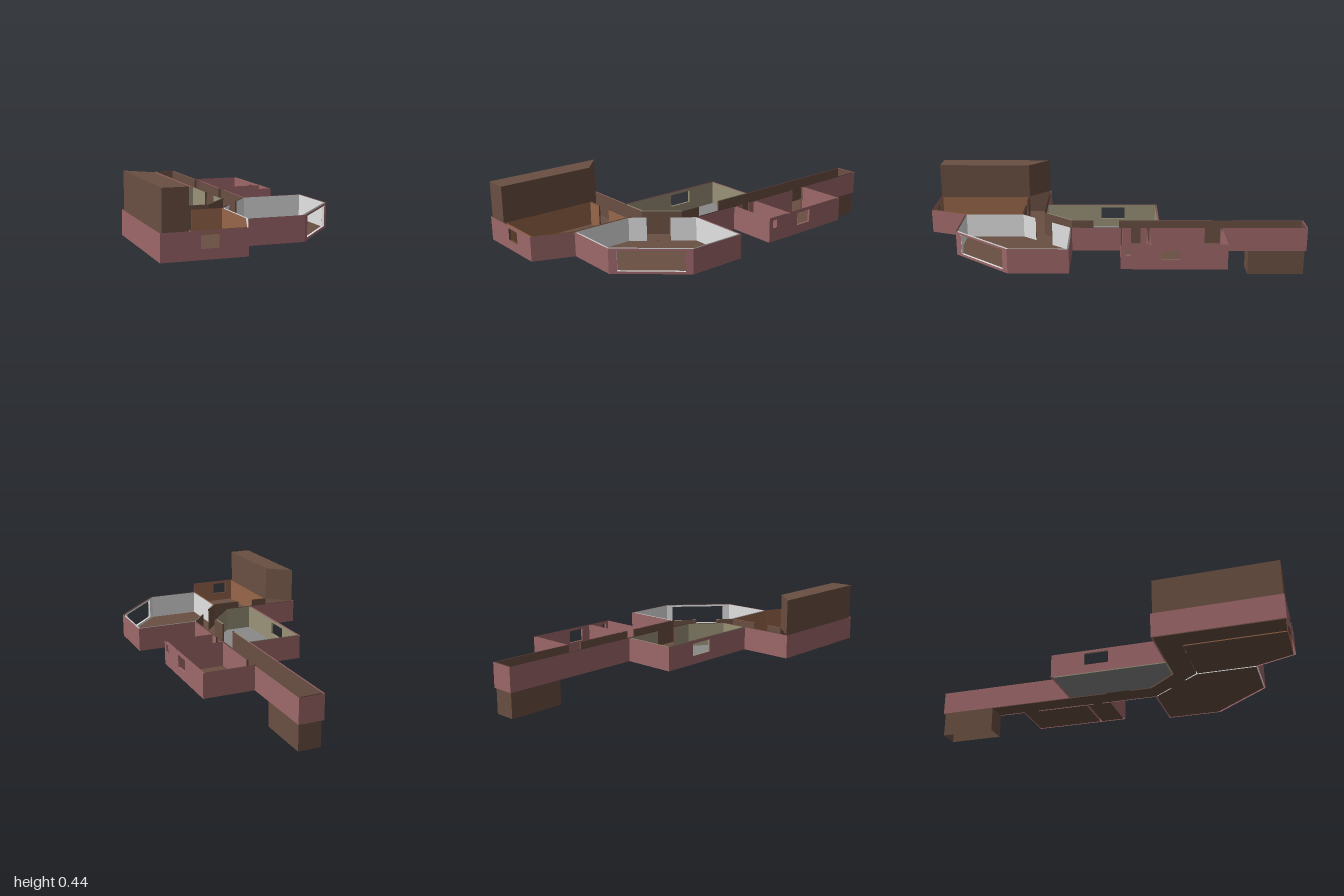
import * as THREE from 'three';

const FLOOR = 0.13, TOP = 0.255;
const mat = (name, color) => {
  const m = new THREE.MeshStandardMaterial({ color, side: THREE.DoubleSide });
  m.name = name;
  return m;
};

// Windows: plan ends on the inner wall, outward direction, sill and head heights
const WINDOWS = [
  { name: 'baySideWindow', a: [0.26, 0.763], b: [0.471, 0.528], n: [0.747, 0.665], y0: 0.143, y1: 0.245, m: 'white' },
  { name: 'frontWindow', a: [-0.33, 0.985], b: [-0.245, 0.985], n: [0, 1], y0: 0.177, y1: 0.241, m: 'brown' },
  { name: 'westWindow', a: [-0.215, -0.06], b: [-0.215, 0.07], n: [-1, 0], y0: 0.175, y1: 0.24, m: 'olive' },
  { name: 'eastWindow', a: [0.435, -0.325], b: [0.435, -0.235], n: [1, 0], y0: 0.178, y1: 0.243, m: 'pink' },
  { name: 'smallEastWindow', a: [0.435, -0.087], b: [0.435, -0.06], n: [1, 0], y0: 0.203, y1: 0.243, m: 'pink' },
];

export function createModel() {
  const model = new THREE.Group();
  model.name = 'floorPlanInterior';
  const M = {
    pink: mat('dusty pink', 0x9e686a),
    brown: mat('dark brown', 0x6a4f42),
    grey: mat('grey floor', 0x8a8a8a),
    white: mat('white wall', 0xe4e4e4),
    olive: mat('olive wall', 0x9a9278),
    tan: mat('orange brown wall', 0x98674a),
  };

  const add = (name, geometry, m, parent = model) => {
    const mesh = new THREE.Mesh(geometry, M[m]);
    mesh.name = name;
    parent.add(mesh);
    return mesh;
  };

  // Flat horizontal polygon from [x, z] points
  const slab = (name, pts, m, y = FLOOR) => {
    const g = new THREE.ShapeGeometry(new THREE.Shape(pts.map(([x, z]) => new THREE.Vector2(x, -z))));
    add(name, g.rotateX(-Math.PI / 2).translate(0, y, 0), m);
  };

  // Upright panel between two plan points, cut by any window lying on it
  const panel = (name, p, q, m, parent, y0 = FLOOR, y1 = TOP) => {
    const dx = q[0] - p[0], dz = q[1] - p[1], len = Math.hypot(dx, dz);
    const d = [dx / len, dz / len];
    const along = (r) => (r[0] - p[0]) * d[0] + (r[1] - p[1]) * d[1];
    const off = (r) => Math.abs((r[0] - p[0]) * d[1] - (r[1] - p[1]) * d[0]);
    const rect = (C, s0, s1, b, t) => new C([[s0, b], [s1, b], [s1, t], [s0, t]].map((v) => new THREE.Vector2(...v)));
    const shape = rect(THREE.Shape, 0, len, y0, y1);
    for (const w of WINDOWS) {
      const s = [along(w.a), along(w.b)].sort((u, v) => u - v);
      if (off(w.a) < 0.02 && off(w.b) < 0.02 && s[0] > 0 && s[1] < len)
        shape.holes.push(rect(THREE.Path, s[0], s[1], w.y0, w.y1));
    }
    const g = new THREE.ShapeGeometry(shape);
    g.applyMatrix4(new THREE.Matrix4().makeBasis(
      new THREE.Vector3(d[0], 0, d[1]), new THREE.Vector3(0, 1, 0), new THREE.Vector3(-d[1], 0, d[0])
    ).setPosition(p[0], 0, p[1]));
    add(name, g, m, parent);
  };

  // Run of panels along one or more plan paths
  const walls = (name, m, paths, y0, y1) => {
    const group = new THREE.Group();
    group.name = name;
    model.add(group);
    for (const path of paths)
      for (let i = 0; i + 1 < path.length; i++) panel(name + 'Panel', path[i], path[i + 1], m, group, y0, y1);
  };

  // Outer shell
  walls('outerWall', 'pink', [[
    [-0.507, 0.367], [-0.226, 0.367], [-0.226, -0.24], [0.057, -0.24], [0.057, -1], [0.183, -1],
    [0.183, -0.56], [0.445, -0.56], [0.445, -0.035], [0.183, -0.035], [0.183, 0.213], [0.503, 0.213],
    [0.503, 0.51], [0.243, 0.8], [-0.037, 0.8], [-0.115, 0.997], [-0.507, 0.997], [-0.507, 0.367],
  ]]);

  // Corridor and stair landing
  slab('corridorFloor', [[0.065, -0.7], [0.175, -0.7], [0.175, 0.22], [-0.045, 0.485],
    [-0.38, 0.485], [-0.498, 0.375], [-0.072, 0.375], [0.065, 0.22]], 'brown');
  slab('landingFloor', [[-0.498, 0.375], [-0.38, 0.485], [-0.38, 0.985], [-0.498, 0.985]], 'brown');
  walls('corridorWall', 'brown', [
    [[0.065, -0.03], [0.065, -0.992], [0.175, -0.992], [0.175, -0.55]],
    [[0.175, -0.47], [0.175, -0.14]],
    [[0.175, -0.09], [0.175, 0.22], [0.09, 0.322]],
    [[0.013, 0.415], [-0.045, 0.485], [-0.2, 0.485]],
    [[-0.29, 0.485], [-0.38, 0.485], [-0.38, 0.985], [-0.498, 0.985], [-0.498, 0.375], [-0.072, 0.375],
      [0.065, 0.22], [0.065, 0.105]],
  ]);

  // Upward stairwell, roofed, and downward stairwell, open below
  const upper = [[-0.498, 0.375], [-0.38, 0.485], [-0.38, 0.993], [-0.498, 0.993]];
  walls('upperStairwell', 'brown', [[...upper, upper[0]]], TOP, 0.44);
  slab('upperStairwellRoof', upper, 'brown', 0.44);
  walls('lowerStairwell', 'brown', [[[0.065, -0.7], [0.178, -0.7], [0.178, -0.992], [0.065, -0.992], [0.065, -0.7]]], 0, FLOOR);

  // Grey-floored west room
  slab('westRoomFloor', [[-0.215, -0.23], [0.055, -0.23], [0.055, 0.215], [-0.075, 0.365], [-0.215, 0.365]], 'grey');
  walls('westRoomWall', 'olive', [
    [[0.055, 0.105], [0.055, 0.215], [-0.075, 0.365], [-0.215, 0.365], [-0.215, -0.23], [0.055, -0.23], [0.055, -0.03]],
  ]);

  // Large white room with the angled window
  slab('bayRoomFloor', [[0.18, 0.222], [0.494, 0.222], [0.494, 0.502], [0.234, 0.792], [-0.035, 0.792], [-0.035, 0.485]], 'brown');
  walls('bayRoomWall', 'white', [
    [[0.098, 0.322], [0.18, 0.222], [0.494, 0.222], [0.494, 0.502], [0.234, 0.792], [-0.035, 0.792],
      [-0.035, 0.485], [0.022, 0.415]],
  ]);

  // Front room
  slab('frontRoomFloor', [[-0.37, 0.493], [-0.045, 0.493], [-0.045, 0.79], [-0.12, 0.985], [-0.37, 0.985]], 'brown');
  walls('frontRoomWall', 'tan', [
    [[-0.2, 0.493], [-0.045, 0.493], [-0.045, 0.79], [-0.12, 0.985], [-0.37, 0.985], [-0.37, 0.493], [-0.29, 0.493]],
  ]);

  // Two small east rooms
  const eastRooms = [['eastRoom', -0.552, -0.185, -0.55, -0.47], ['eastCloset', -0.172, -0.045, -0.14, -0.09]];
  for (const [name, z0, z1, d0, d1] of eastRooms) {
    slab(name + 'Floor', [[0.185, z0], [0.435, z0], [0.435, z1], [0.185, z1]], 'brown');
    walls(name + 'Wall', 'pink', [[[0.185, d1], [0.185, z1], [0.435, z1], [0.435, z0], [0.185, z0], [0.185, d0]]]);
  }

  // Doorways: threshold and two jambs between paired walls
  const doors = [
    [[0.175, -0.55], [0.175, -0.47], [0.185, -0.47], [0.185, -0.55]],
    [[0.175, -0.14], [0.175, -0.09], [0.185, -0.09], [0.185, -0.14]],
    [[0.055, -0.03], [0.055, 0.105], [0.065, 0.105], [0.065, -0.03]],
    [[-0.29, 0.485], [-0.2, 0.485], [-0.2, 0.493], [-0.29, 0.493]],
    [[0.09, 0.322], [0.013, 0.415], [0.022, 0.415], [0.098, 0.322]],
  ];
  for (const d of doors) {
    slab('doorThreshold', d, 'brown');
    walls('doorJamb', 'brown', [[d[1], d[2]], [d[3], d[0]]]);
  }

  // Window reveals: sill, head and two sides
  for (const w of WINDOWS) {
    const out = (p) => [p[0] + w.n[0] * 0.011, p[1] + w.n[1] * 0.011];
    const ring = [w.a, w.b, out(w.b), out(w.a)];
    slab(w.name + 'Sill', ring, w.m, w.y0);
    slab(w.name + 'Head', ring, w.m, w.y1);
    walls(w.name + 'Side', w.m, [[w.a, out(w.a)], [w.b, out(w.b)]], w.y0, w.y1);
  }
  return model;
}
